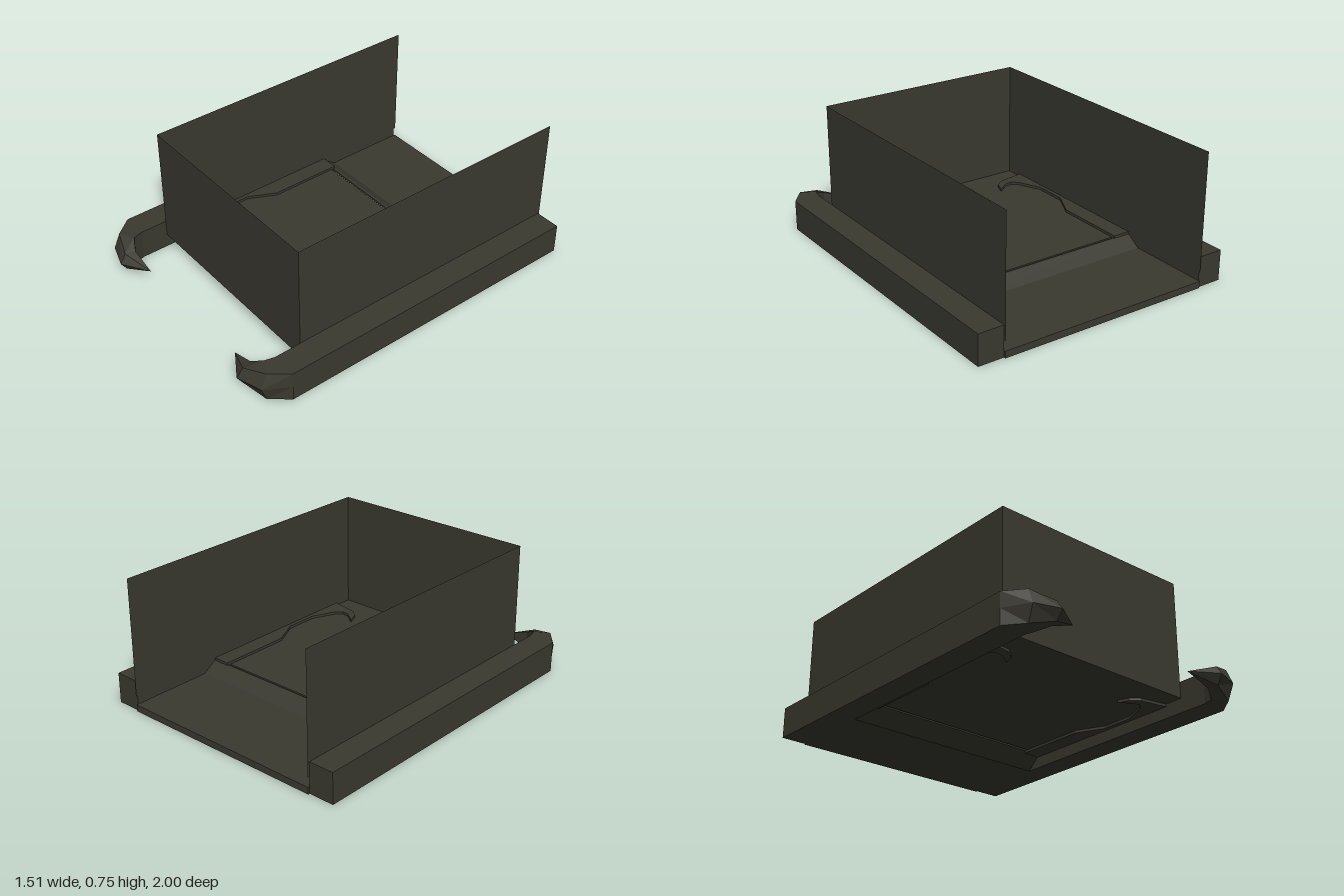
import * as THREE from 'three';

const dark = new THREE.MeshStandardMaterial({ color: 0x3a3930, side: THREE.DoubleSide });
dark.name = 'dark olive grey';

// Runner cross-sections from back to tip: six [x, y, z] corners each,
// in the order outer middle, outer top, inner top, inner middle, inner bottom, outer bottom
function section(outer, edge, inner, low, high) {
  const mid = 0.087;
  return [
    [outer[0], mid, outer[1]], [edge[0], high, edge[1]], [inner[0], high, inner[1]],
    [inner[0], mid, inner[1]], [inner[0], low, inner[1]], [edge[0], low, edge[1]],
  ];
}

function runnerGeometry() {
  const rings = [
    section([0.755, -0.99], [0.755, -0.99], [0.61, -0.99], 0, 0.172),
    section([0.755, 0.82], [0.755, 0.82], [0.61, 0.82], 0, 0.172),
    section([0.68, 0.955], [0.675, 0.92], [0.595, 0.875], 0, 0.172),
    section([0.54, 1.0], [0.545, 0.965], [0.53, 0.91], 0.035, 0.138),
    section([0.39, 0.905], [0.39, 0.905], [0.39, 0.905], 0.087, 0.087),
  ];
  const pos = [];
  const tri = (a, b, c) => pos.push(...a, ...b, ...c);
  for (let j = 0; j < 6; j++) {
    const k = (j + 1) % 6;
    for (let i = 0; i < rings.length - 1; i++) {
      tri(rings[i][j], rings[i][k], rings[i + 1][j]);
      if (i < rings.length - 2) tri(rings[i][k], rings[i + 1][k], rings[i + 1][j]);
    }
    if (j > 0 && j < 5) tri(rings[0][0], rings[0][j + 1], rings[0][j]);
  }
  const geo = new THREE.BufferGeometry();
  geo.setAttribute('position', new THREE.Float32BufferAttribute(pos, 3));
  geo.computeVertexNormals();
  return geo;
}

// Flat panel from [x, z] points
function panelGeometry(points, top, thickness) {
  const shape = new THREE.Shape(points.map(([x, z]) => new THREE.Vector2(x, z)));
  const geo = new THREE.ExtrudeGeometry(shape, { depth: thickness, bevelEnabled: false });
  return geo.rotateX(Math.PI / 2).translate(0, top, 0);
}

// Mirror across x = 0, restoring the corner order
function mirrored(source) {
  const geo = source.index ? source.toNonIndexed() : source.clone();
  geo.scale(-1, 1, 1);
  const p = geo.attributes.position;
  for (let i = 0; i < p.count; i += 3) {
    const b = new THREE.Vector3().fromBufferAttribute(p, i + 1);
    const c = new THREE.Vector3().fromBufferAttribute(p, i + 2);
    p.setXYZ(i + 1, c.x, c.y, c.z);
    p.setXYZ(i + 2, b.x, b.y, b.z);
  }
  geo.computeVertexNormals();
  return geo;
}

export function createModel() {
  const group = new THREE.Group();
  const add = (name, geo) => {
    const mesh = new THREE.Mesh(geo, dark);
    mesh.name = name;
    group.add(mesh);
    return mesh;
  };
  const addPair = (name, geo) => {
    add('left' + name, geo);
    add('right' + name, mirrored(geo));
  };

  // Side runners with hooked, pointed tips
  addPair('Runner', runnerGeometry());

  // Thin side walls and front wall
  addPair('Wall', new THREE.PlaneGeometry(1.665, 0.66).rotateY(Math.PI / 2).translate(0.608, 0.42, -0.1675));
  add('frontWall', new THREE.PlaneGeometry(1.216, 0.66).translate(0, 0.42, 0.665));

  // Main floor
  add('floor', new THREE.BoxGeometry(1.22, 0.01, 1.085).translate(0, 0.085, 0.1225));

  // Rear step, sloping up to the floor
  const profile = [[-1, 0], [-1, 0.038], [-0.52, 0.038], [-0.445, 0.09], [-0.432, 0.09], [-0.432, 0.078], [-0.515, 0]];
  const step = new THREE.ExtrudeGeometry(
    new THREE.Shape(profile.map(([z, y]) => new THREE.Vector2(z, y))),
    { depth: 1.22, bevelEnabled: false });
  add('rearStep', step.rotateY(-Math.PI / 2).translate(0.61, 0, 0));

  // Raised floor edging that ends in a curled hook
  const edging = [
    [0.61, -0.442], [0.51, -0.442], [0.51, -0.02], [0.585, 0.13], [0.585, 0.32], [0.525, 0.455],
    [0.49, 0.485], [0.45, 0.48], [0.38, 0.43], [0.405, 0.495], [0.45, 0.53], [0.61, 0.56],
  ];
  addPair('FloorEdging', panelGeometry(edging, 0.105, 0.04));

  return group;
}
